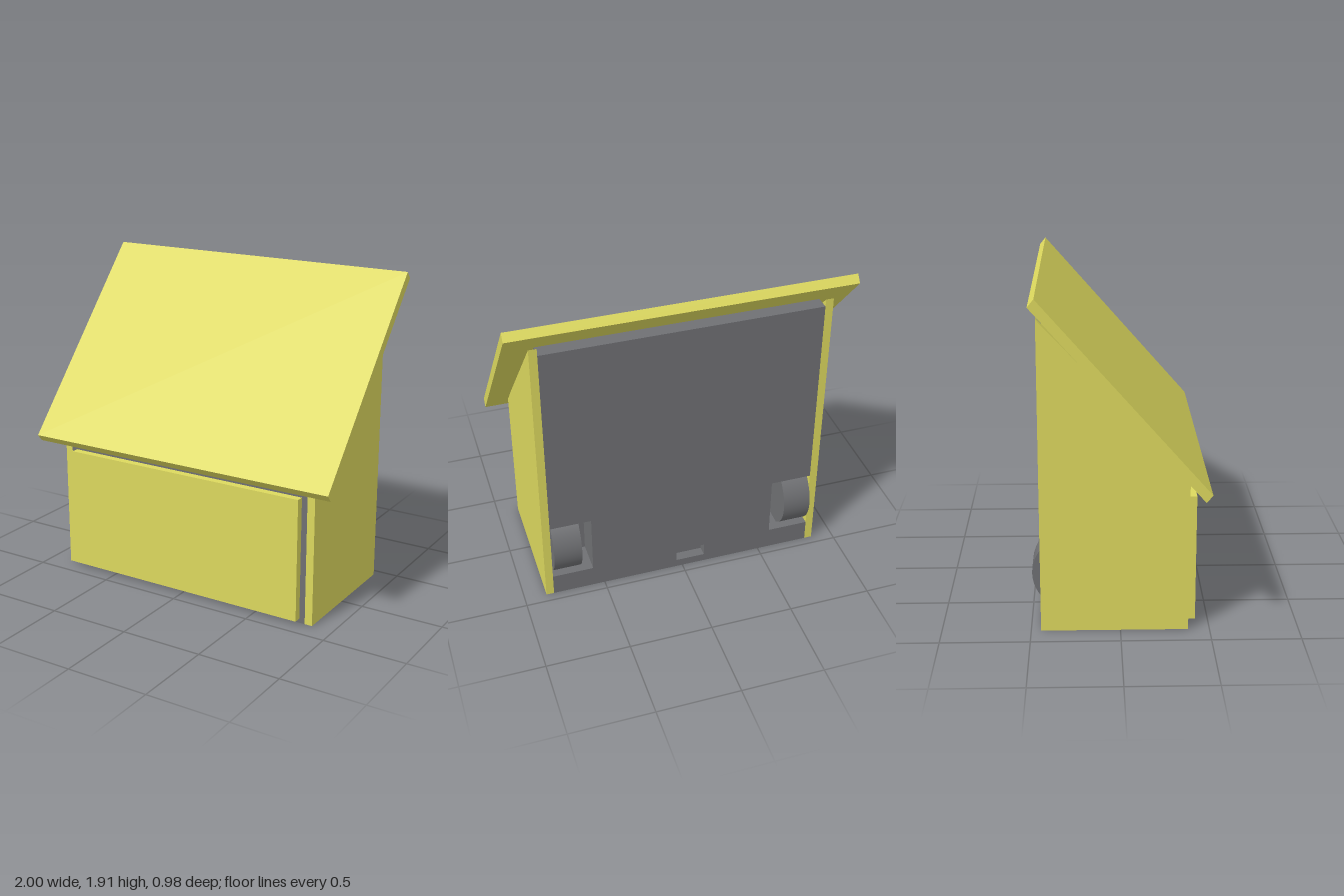
import * as THREE from 'three';

const yellow = new THREE.MeshStandardMaterial({ color: 0xdcd85e });
yellow.name = 'yellow panel';
const grey = new THREE.MeshStandardMaterial({ color: 0x6f7073 });
grey.name = 'dark grey';

// Extrudes a side profile of [z, y] points from x0 to x1
function slab(name, points, x0, x1, material) {
  const shape = new THREE.Shape(points.map(([z, y]) => new THREE.Vector2(-z, y)));
  const geometry = new THREE.ExtrudeGeometry(shape, { depth: x1 - x0, bevelEnabled: false });
  geometry.rotateY(Math.PI / 2).translate(x0, 0, 0);
  const mesh = new THREE.Mesh(geometry, material);
  mesh.name = name;
  return mesh;
}

export function createModel() {
  const model = new THREE.Group();
  model.name = 'slopedHousing';
  const back = -0.445, front = 0.38;

  // Sloping roof board
  model.add(slab('roof', [[0.49, 0.85], [0.455, 0.808], [-0.48, 1.872], [-0.445, 1.915]], -1, 1, yellow));

  // Side panels
  const side = [[front, 0], [front, 0.9], [back, 1.78], [back, 0]];
  model.add(slab('leftPanel', side, 0.82, 0.867, yellow));
  model.add(slab('rightPanel', side, -0.867, -0.82, yellow));

  // Front panel
  const panel = new THREE.Mesh(new THREE.BoxGeometry(1.57, 0.74, 0.045), yellow);
  panel.name = 'frontPanel';
  panel.position.set(0, 0.395, front + 0.0225);
  model.add(panel);

  // Core in slices across x; some have a recess in the back: [x0, x1, y0, y1, depth]
  const slices = [
    [-0.82, -0.57, 0.135, 0.515, 0.2],
    [-0.57, -0.14],
    [-0.14, 0.04, 0.05, 0.13, 0.06],
    [0.04, 0.57],
    [0.57, 0.82, 0.135, 0.515, 0.2],
  ];
  const core = new THREE.Group();
  core.name = 'core';
  for (const [x0, x1, y0, y1, depth] of slices) {
    const recess = depth
      ? [[back, y1], [back + depth, y1], [back + depth, y0], [back, y0]]
      : [];
    const profile = [[front, 0], [front, 0.89], [-0.36, 1.735], [back, 1.735], ...recess, [back, 0]];
    core.add(slab('coreSlice', profile, x0, x1, grey));
  }
  model.add(core);

  // Wheels set into the back recesses
  for (const [name, s] of [['leftWheel', 1], ['rightWheel', -1]]) {
    const wheel = new THREE.Mesh(new THREE.CylinderGeometry(0.226, 0.226, 0.17, 48), grey);
    wheel.name = name;
    wheel.rotation.z = Math.PI / 2;
    wheel.position.set(s * 0.727, 0.328, -0.265);
    model.add(wheel);
  }
  return model;
}
